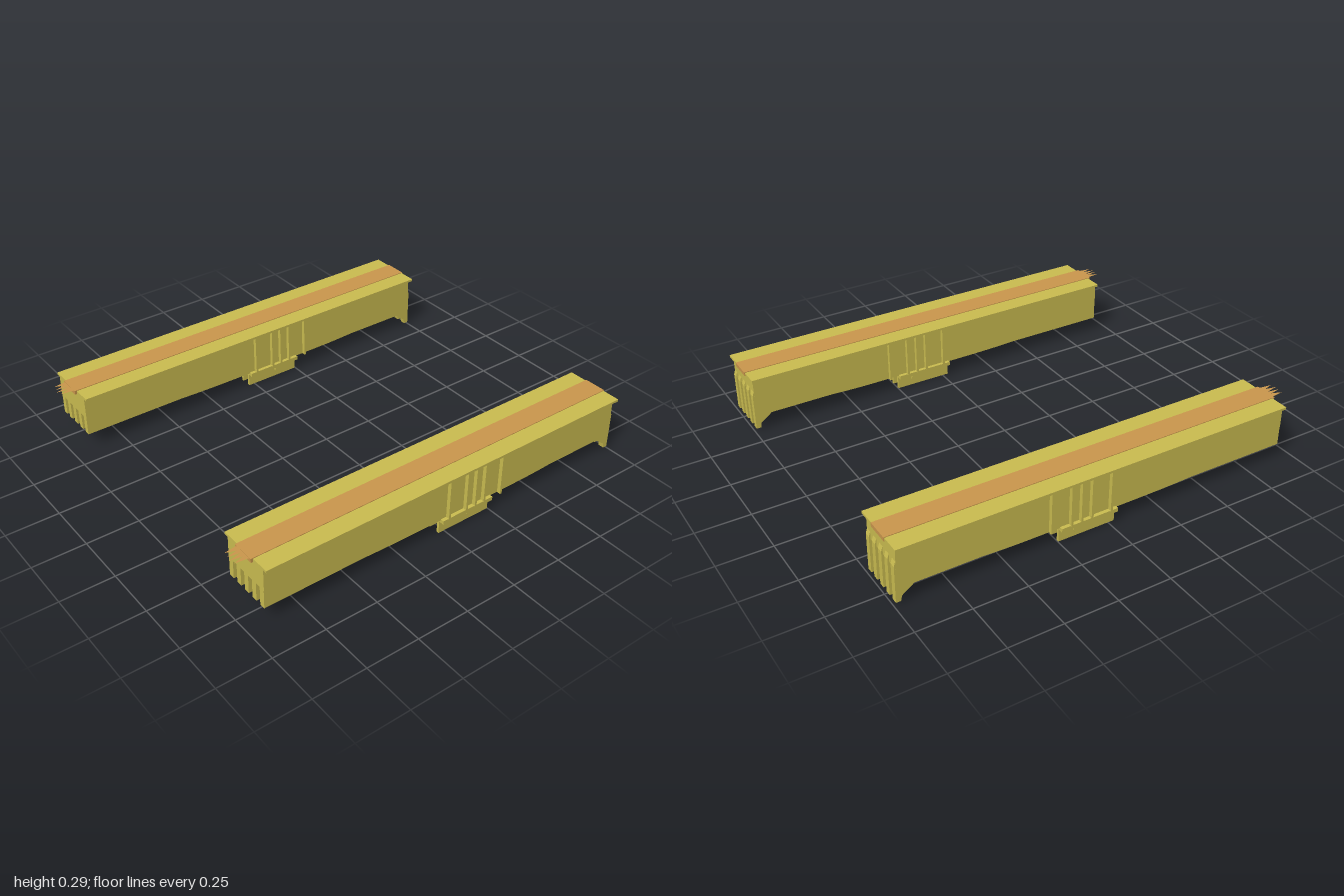
import * as THREE from 'three';

const concrete = new THREE.MeshStandardMaterial({ color: 0xcabc50 });
concrete.name = 'ochre';
const deckMat = new THREE.MeshStandardMaterial({ color: 0xca974c, side: THREE.DoubleSide });
deckMat.name = 'orange';

function add(group, name, geo, mat, x = 0, y = 0, z = 0) {
  const m = new THREE.Mesh(geo, mat);
  m.name = name;
  m.position.set(x, y, z);
  group.add(m);
  return m;
}

// box given by its min/max extents
function box(group, name, mat, x0, x1, y0, y1, z0, z1) {
  return add(group, name, new THREE.BoxGeometry(x1 - x0, y1 - y0, z1 - z0), mat,
    (x0 + x1) / 2, (y0 + y1) / 2, (z0 + z1) / 2);
}

// side profile extruded across the width, centred on z
function slab(group, name, shape, width, z) {
  const geo = new THREE.ExtrudeGeometry(shape, { depth: width, bevelEnabled: false, curveSegments: 14 });
  return add(group, name, geo, concrete, 0, 0, z - width / 2);
}

function polygon(points) {
  return new THREE.Shape(points.map(([x, y]) => new THREE.Vector2(x, y)));
}

function createBeam() {
  const g = new THREE.Group();

  // main body, its underside arching up towards both ends
  const body = new THREE.Shape();
  body.moveTo(-0.92, 0.278);
  body.lineTo(-0.92, 0.17);
  body.bezierCurveTo(-0.75, 0.14, -0.6, 0.085, -0.42, 0.081);
  body.bezierCurveTo(-0.3, 0.076, -0.2, 0.075, -0.05, 0.075);
  body.lineTo(0.35, 0.075);
  body.bezierCurveTo(0.45, 0.075, 0.5, 0.076, 0.6, 0.081);
  body.bezierCurveTo(0.72, 0.087, 0.86, 0.14, 0.985, 0.176);
  body.lineTo(0.985, 0.278);
  slab(g, 'body', body, 0.242, 0);

  // five lengthwise webs with a hooked foot at one end
  const web = polygon([[-0.92, 0.08], [0.91, 0.08], [0.965, 0.04], [0.97, 0.015],
    [0.992, 0.015], [0.992, 0.19], [0.98, 0.23], [-0.92, 0.23]]);
  // bearing fins hanging below the middle
  for (let i = -2; i <= 2; i++) {
    const z = i * 0.053;
    slab(g, 'web', web, 0.027, z);
    box(g, 'bearingFin', concrete, -0.03, 0.248, 0, 0.075, z - 0.006, z + 0.006);
  }
  box(g, 'bearingPlate', concrete, -0.03, 0.248, 0.062, 0.08, -0.138, 0.138);

  // pin through the fins
  const pin = add(g, 'bearingPin', new THREE.CylinderGeometry(0.026, 0.026, 0.236, 24), concrete, 0.15, 0.037, 0);
  pin.rotation.x = Math.PI / 2;

  // vertical stiffeners on both sides
  for (const side of [-1, 1]) {
    for (const x of [0.004, 0.1, 0.15, 0.2, 0.296]) {
      const rib = box(g, 'stiffener', concrete, x - 0.005, x + 0.005, 0.075, 0.278, -0.0125, 0.0125);
      rib.position.z = side * 0.127;
    }
  }

  // top flange and running strip
  box(g, 'topFlange', concrete, -0.92, 0.994, 0.273, 0.284, -0.142, 0.142);
  box(g, 'deckStrip', deckMat, -0.93, 0.997, 0.268, 0.287, -0.054, 0.054);

  // flat pointed tongues at the broken end of the strip
  const tongues = polygon([[-0.925, -0.045], [-0.99, -0.036], [-0.945, -0.022], [-1, -0.012],
    [-0.94, 0], [-0.995, 0.01], [-0.945, 0.02], [-0.99, 0.036], [-0.925, 0.045]]);
  add(g, 'stripTongues', new THREE.ShapeGeometry(tongues), deckMat, 0, 0.285, 0).rotation.x = -Math.PI / 2;
  return g;
}

export function createModel() {
  const model = new THREE.Group();
  model.name = 'twinBeams';
  for (const [name, z] of [['frontBeam', 0.715], ['backBeam', -0.715]]) {
    const beam = createBeam();
    beam.name = name;
    beam.position.z = z;
    model.add(beam);
  }
  return model;
}
